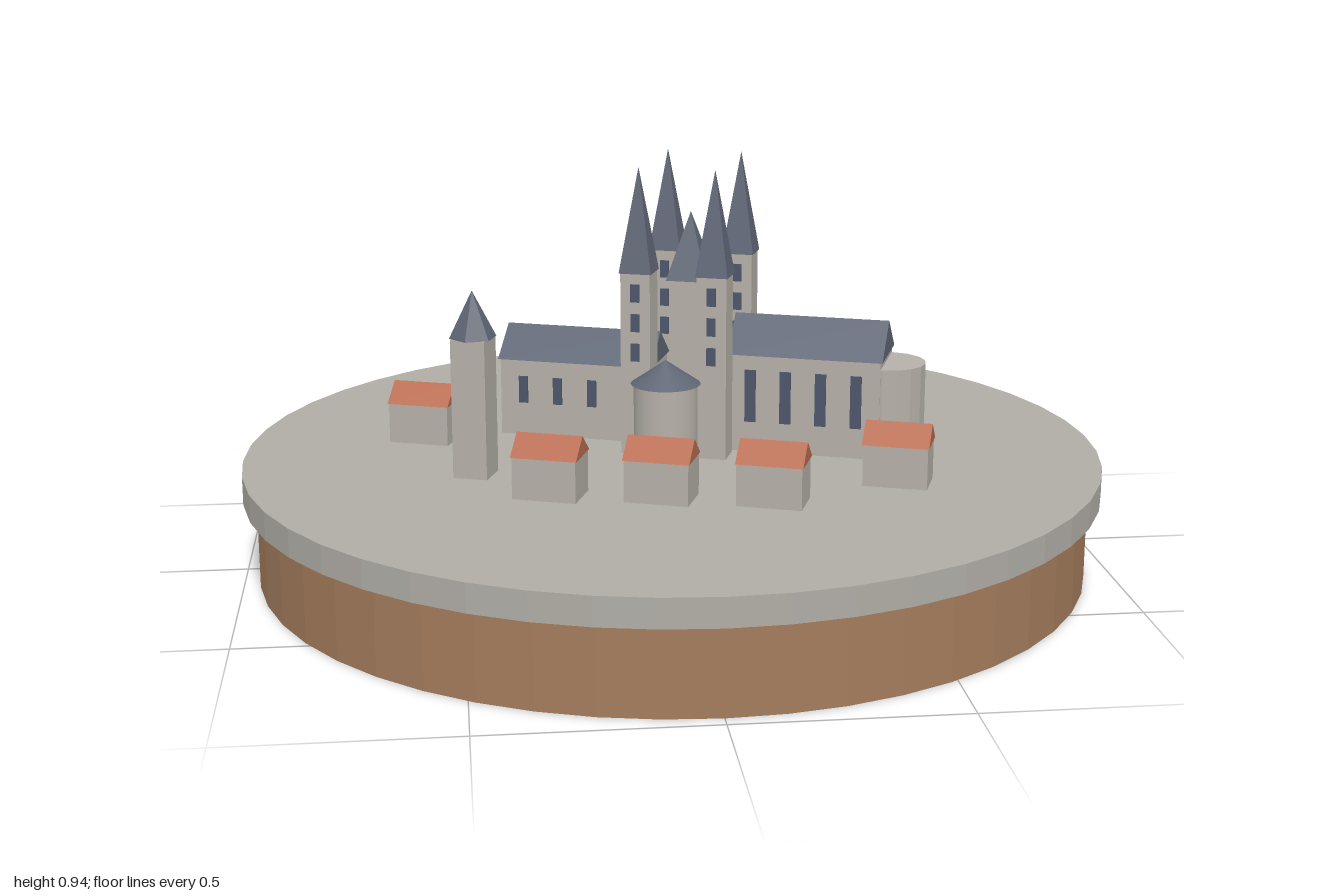
import * as THREE from 'three';

const mat = (name, color, flatShading = false) => {
  const m = new THREE.MeshStandardMaterial({ color, flatShading });
  m.name = name;
  return m;
};

export function createModel() {
  const earth = mat('earth brown', 0xa47c5c, true);
  const ground = mat('ground grey', 0xb0ada6, true);
  const stone = mat('stone', 0xb5b0a8, true);
  const plaster = mat('smooth stone', 0xb5b0a8);
  const slate = mat('slate', 0x5f6675, true);
  const slateSmooth = mat('smooth slate', 0x5f6675);
  const tile = mat('terracotta', 0xb86c50, true);
  const glass = mat('window blue', 0x4c566a);

  const GROUND = 0.265, TURN = -0.35;
  const model = new THREE.Group();
  model.name = 'hilltopTown';

  const add = (parent, name, geo, material, x = 0, y = 0, z = 0) => {
    const mesh = new THREE.Mesh(geo, material);
    mesh.name = name;
    mesh.position.set(x, y, z);
    parent.add(mesh);
    return mesh;
  };
  const group = (parent, name, x, z, turn = 0) => {
    const g = new THREE.Group();
    g.name = name;
    g.position.set(x, 0, z);
    g.rotation.y = turn;
    parent.add(g);
    return g;
  };
  // Box standing on the ground, up to the given height
  const block = (parent, name, w, d, top, x = 0, z = 0) =>
    add(parent, name, new THREE.BoxGeometry(w, top - GROUND, d), stone, x, (GROUND + top) / 2, z);
  // Gabled roof with its ridge along x
  const gable = (parent, name, len, width, eave, ridge, material, x = 0) => {
    const s = new THREE.Shape();
    s.moveTo(-width / 2, 0);
    s.lineTo(width / 2, 0);
    s.lineTo(0, ridge - eave);
    const geo = new THREE.ExtrudeGeometry(s, { depth: len, bevelEnabled: false });
    geo.translate(0, 0, -len / 2).rotateY(Math.PI / 2);
    add(parent, name, geo, material, x, eave, 0);
  };
  // Pyramid roof, square ones aligned to the walls
  const spire = (parent, name, radius, sides, base, tip, material, x = 0, z = 0) => {
    const geo = new THREE.ConeGeometry(radius, tip - base, sides);
    if (sides === 4) geo.rotateY(Math.PI / 4);
    add(parent, name, geo, material, x, (base + tip) / 2, z);
  };
  const windowPane = (parent, w, h, x, y, z) =>
    add(parent, 'window', new THREE.BoxGeometry(w, h, 0.008), glass, x, y, z);

  // Round base
  add(model, 'earthBase', new THREE.CylinderGeometry(0.97, 0.97, 0.2, 48), earth, 0, 0.1, 0);
  add(model, 'groundDisc', new THREE.CylinderGeometry(1, 1, 0.065, 48), ground, 0, 0.2325, 0);

  // Cathedral, turned on the disc
  const church = group(model, 'cathedral', 0.055, -0.094, TURN);

  // West hall
  block(church, 'westHallWalls', 0.37, 0.165, 0.45, -0.264);
  gable(church, 'westHallRoof', 0.38, 0.176, 0.45, 0.52, slate, -0.264);
  for (let i = 0; i < 4; i++) windowPane(church, 0.022, 0.065, -0.392 + i * 0.085, 0.378, 0.083);

  // East choir with rounded apse
  block(church, 'choirWalls', 0.385, 0.18, 0.497, 0.277);
  gable(church, 'choirRoof', 0.365, 0.188, 0.497, 0.577, slate, 0.292);
  for (let i = 0; i < 4; i++) windowPane(church, 0.026, 0.125, 0.165 + i * 0.083, 0.4, 0.09);
  add(church, 'apse', new THREE.CylinderGeometry(0.088, 0.088, 0.48 - GROUND, 16), stone,
    0.474, (0.48 + GROUND) / 2, 0);

  // Crossing tower
  block(church, 'crossingTower', 0.082, 0.082, 0.655);
  spire(church, 'crossingSpire', 0.069, 4, 0.655, 0.815, slate);

  // Four spired towers and two round ones
  for (const sz of [-1, 1]) {
    for (const sx of [-1, 1]) {
      const x = sx * 0.09, z = sz * 0.14;
      block(church, 'squareTower', 0.07, 0.07, 0.695, x, z);
      spire(church, 'towerSpire', 0.054, 4, 0.695, 0.938, slate, x, z);
      for (const y of [0.51, 0.58, 0.65]) windowPane(church, 0.021, 0.042, x, y, z + 0.035);
    }
    add(church, 'roundTower', new THREE.CylinderGeometry(0.073, 0.073, 0.46 - GROUND, 24), plaster,
      0, (0.46 + GROUND) / 2, sz * 0.245);
    spire(church, 'roundTowerRoof', 0.08, 24, 0.46, 0.515, slateSmooth, 0, sz * 0.245);
  }

  // Lone watchtower
  const watch = group(model, 'watchtower', -0.465, 0.158, TURN);
  block(watch, 'watchtowerWalls', 0.08, 0.08, 0.585);
  spire(watch, 'watchtowerRoof', 0.054, 6, 0.585, 0.692, slate);

  // Town houses
  const houses = [[-0.578, -0.142], [-0.305, 0.329], [-0.064, 0.377], [0.176, 0.43], [0.476, 0.317]];
  for (const [x, z] of houses) {
    const house = group(model, 'house', x, z, TURN);
    block(house, 'houseWalls', 0.145, 0.1, 0.36);
    gable(house, 'houseRoof', 0.15, 0.106, 0.36, 0.405, tile);
  }
  return model;
}
